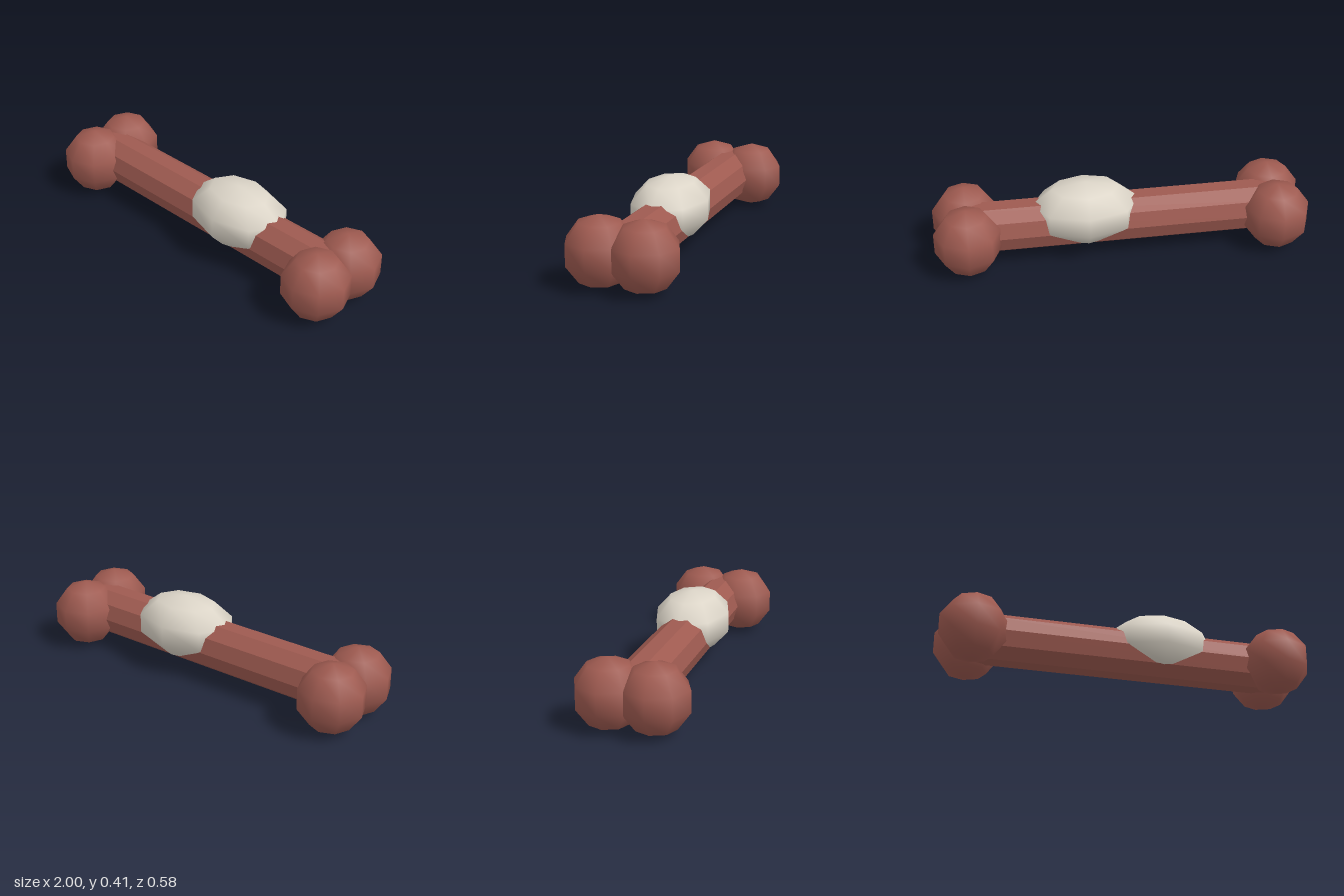
import * as THREE from 'three';

export function createModel() {
  const model = new THREE.Group();
  model.name = 'bone';

  const red = new THREE.MeshStandardMaterial({ color: 0x9e5a50 });
  red.name = 'dull red';
  const ivory = new THREE.MeshStandardMaterial({ color: 0xdcd5c8 });
  ivory.name = 'ivory';

  const add = (name, geometry, material, x, y, z) => {
    const mesh = new THREE.Mesh(geometry, material);
    mesh.name = name;
    mesh.position.set(x, y, z);
    model.add(mesh);
    return mesh;
  };

  // Ten-sided shaft with faceted sides, lying along x
  const shaft = new THREE.CylinderGeometry(0.137, 0.137, 1.64, 10).toNonIndexed();
  shaft.computeVertexNormals();
  shaft.rotateZ(Math.PI / 2);
  add('shaft', shaft, red, 0, 0.182, 0);

  // A pair of smooth, low-poly knobs at each end
  const knob = new THREE.SphereGeometry(0.183, 8, 5);
  for (const sx of [-1, 1]) {
    for (const sz of [-1, 1]) {
      const name = (sz > 0 ? 'front' : 'back') + (sx > 0 ? 'Left' : 'Right') + 'Knob';
      add(name, knob, red, sx * 0.826, 0.183, sz * 0.117);
    }
  }

  // Pale oval lump sunk into the top of the shaft
  const lump = new THREE.SphereGeometry(1, 8, 5);
  lump.scale(0.303, 0.17, 0.212);
  add('lump', lump, ivory, 0.192, 0.241, 0);

  return model;
}
